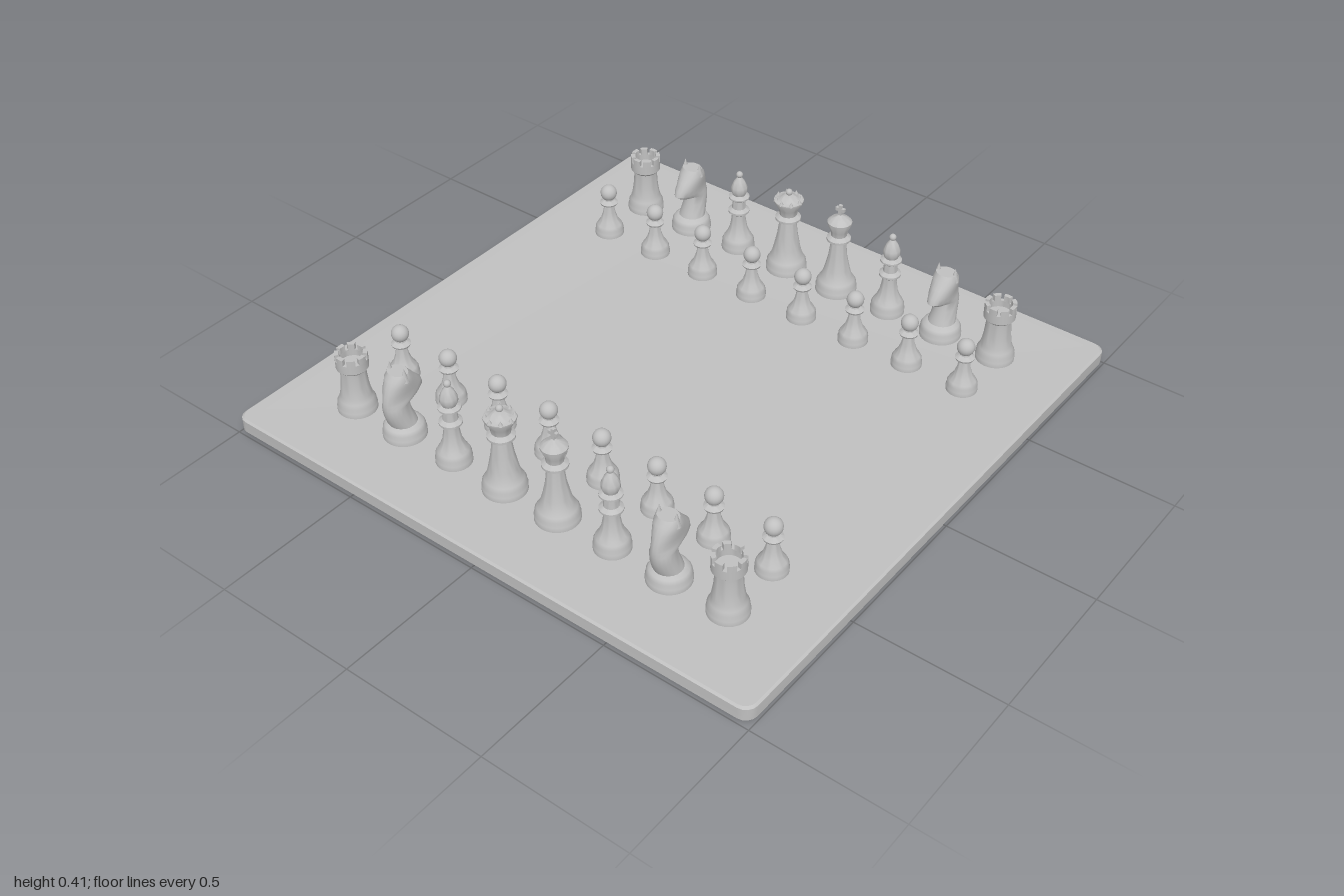
import * as THREE from 'three';
import { toCreasedNormals } from 'three/addons/utils/BufferGeometryUtils.js';

const TOP = 0.065; // playing surface height
const stone = new THREE.MeshStandardMaterial({ color: 0xc0c0c0 });
stone.name = 'plain grey';

function add(parent, name, geometry, x = 0, y = 0, z = 0) {
  const mesh = new THREE.Mesh(geometry, stone);
  mesh.name = name;
  mesh.position.set(x, y, z);
  parent.add(mesh);
  return mesh;
}

// Skins equal-length rings of points, listed bottom to top, anticlockwise from above
function loft(rings, crease) {
  const n = rings[0].length, pos = [], index = [];
  rings.forEach(r => r.forEach(p => pos.push(...p)));
  for (let i = 0; i < rings.length - 1; i++)
    for (let j = 0; j < n; j++) {
      const a = i * n + j, b = i * n + (j + 1) % n;
      index.push(a, b, b + n, a, b + n, a + n);
    }
  const g = new THREE.BufferGeometry();
  g.setAttribute('position', new THREE.Float32BufferAttribute(pos, 3));
  g.setIndex(index);
  g.computeVertexNormals();
  return toCreasedNormals(g, crease);
}

function turned(profile) {
  const pts = profile.map(([r, y]) => new THREE.Vector2(r, y));
  return toCreasedNormals(new THREE.LatheGeometry(pts, 28), 0.7);
}

// Square outline with rounded corners
function roundedSquare(half, radius, y) {
  const ring = [], c = half - radius;
  for (let k = 0; k < 4; k++)
    for (let s = 0; s <= 4; s++) {
      const a = (k + s / 4) * Math.PI / 2;
      const sx = k === 0 || k === 3 ? 1 : -1, sz = k < 2 ? -1 : 1;
      ring.push([sx * c + radius * Math.cos(a), y, sz * c - radius * Math.sin(a)]);
    }
  return ring;
}

const base = (r, h = 1) => [
  [0, 0], [r, 0], [r, 0.018 * h], [r * 0.95, 0.024 * h], [r * 0.96, 0.034 * h], [r * 0.86, 0.046 * h]
];

const pawnBody = turned([...base(0.051, 0.85), [0.031, 0.058], [0.022, 0.085], [0.017, 0.114],
  [0.03, 0.122], [0.032, 0.128], [0.017, 0.137], [0.014, 0.15]]);
const pawnHead = new THREE.SphereGeometry(0.029, 20, 14);

const rookBody = turned([...base(0.064), [0.05, 0.062], [0.044, 0.1], [0.041, 0.14], [0.041, 0.155],
  [0.052, 0.166], [0.052, 0.198], [0.04, 0.198], [0.04, 0.175], [0, 0.175]]);
const merlonShape = new THREE.Shape();
merlonShape.absarc(0, 0, 0.052, -0.27, 0.27, false);
merlonShape.absarc(0, 0, 0.038, 0.27, -0.27, true);
const merlon = new THREE.ExtrudeGeometry(merlonShape, { depth: 0.022, bevelEnabled: false, curveSegments: 4 });
merlon.rotateX(-Math.PI / 2);

const bishopBody = turned([...base(0.058), [0.042, 0.058], [0.031, 0.085], [0.025, 0.12], [0.024, 0.14],
  [0.037, 0.15], [0.037, 0.157], [0.024, 0.166], [0.022, 0.195], [0.036, 0.206], [0.036, 0.212],
  [0.023, 0.22], [0.029, 0.236], [0.028, 0.25], [0.019, 0.272], [0.008, 0.287], [0.006, 0.29]]);
const bishopFinial = new THREE.SphereGeometry(0.012, 14, 10);

const queenBody = turned([...base(0.071), [0.053, 0.062], [0.046, 0.09], [0.036, 0.14], [0.029, 0.195],
  [0.044, 0.204], [0.044, 0.212], [0.03, 0.222], [0.034, 0.245], [0.051, 0.274], [0.051, 0.28],
  [0.041, 0.281], [0.032, 0.284], [0.022, 0.294], [0.009, 0.3], [0, 0.302]]);
const queenFinial = new THREE.SphereGeometry(0.012, 14, 10);
const crownPoint = new THREE.ConeGeometry(0.009, 0.018, 8);

const kingBody = turned([...base(0.071), [0.052, 0.06], [0.043, 0.09], [0.032, 0.14], [0.026, 0.195],
  [0.041, 0.204], [0.041, 0.212], [0.027, 0.222], [0.029, 0.24], [0.042, 0.27], [0.042, 0.276],
  [0.03, 0.288], [0.012, 0.297], [0.006, 0.303], [0, 0.303]]);
const crossPost = new THREE.BoxGeometry(0.012, 0.044, 0.011);
const crossArm = new THREE.BoxGeometry(0.034, 0.012, 0.011);

const knightBase = turned([...base(0.07), [0.046, 0.055], [0, 0.055]]);
// Horse cross-sections: height, back, front, half width
const horse = loft([
  [0.045, -0.045, 0.045, 0.048], [0.07, -0.058, 0.038, 0.043], [0.105, -0.069, 0.025, 0.038],
  [0.135, -0.073, 0.022, 0.036], [0.15, -0.073, 0.07, 0.035], [0.162, -0.072, 0.086, 0.035],
  [0.182, -0.067, 0.08, 0.037], [0.207, -0.058, 0.058, 0.041], [0.23, -0.046, 0.04, 0.042],
  [0.247, -0.032, 0.026, 0.036], [0.247, -0.003, -0.003, 0]
].map(([y, back, front, w]) => Array.from({ length: 20 }, (_, j) => {
  const a = j / 20 * Math.PI * 2;
  return [w * Math.cos(a), y, (back + front) / 2 - (front - back) / 2 * Math.sin(a)];
})), 0.8);
const ear = new THREE.ConeGeometry(0.014, 0.05, 10);

const makers = {
  pawn(g) {
    add(g, 'pawnBody', pawnBody);
    add(g, 'pawnHead', pawnHead, 0, 0.166);
  },
  rook(g) {
    add(g, 'rookBody', rookBody);
    for (let i = 0; i < 8; i++) add(g, 'merlon', merlon, 0, 0.197).rotation.y = i * Math.PI / 4;
  },
  knight(g) {
    add(g, 'knightBase', knightBase);
    add(g, 'horseHead', horse);
    for (const s of [-1, 1]) add(g, 'ear', ear, s * 0.031, 0.247, -0.005);
  },
  bishop(g) {
    add(g, 'bishopBody', bishopBody);
    add(g, 'bishopFinial', bishopFinial, 0, 0.298);
  },
  queen(g) {
    add(g, 'queenBody', queenBody);
    add(g, 'queenFinial', queenFinial, 0, 0.309);
    for (let i = 0; i < 8; i++) {
      const a = i * Math.PI / 4;
      add(g, 'crownPoint', crownPoint, 0.044 * Math.cos(a), 0.286, 0.044 * Math.sin(a));
    }
  },
  king(g) {
    add(g, 'kingBody', kingBody);
    add(g, 'crossPost', crossPost, 0, 0.318);
    add(g, 'crossArm', crossArm, 0, 0.323);
  }
};

export function createModel() {
  const model = new THREE.Group();
  model.name = 'chessSet';

  // Board with softened edges and a very shallow dished top
  add(model, 'board', loft([
    roundedSquare(0.001, 0.0005, 0.012), roundedSquare(0.99, 0.035, 0.012), roundedSquare(1, 0.04, 0.02),
    roundedSquare(1, 0.04, 0.061), roundedSquare(0.993, 0.037, 0.067), roundedSquare(0.95, 0.03, 0.067),
    roundedSquare(0.87, 0.02, TOP), roundedSquare(0.001, 0.0005, TOP)
  ], 0.5));

  // Feet
  const foot = new THREE.CylinderGeometry(0.034, 0.034, 0.014, 24);
  for (const x of [-0.915, 0.915])
    for (const z of [-0.915, 0.915]) add(model, 'foot', foot, x, 0.007, z);

  // Two facing armies
  const order = ['rook', 'knight', 'bishop', 'queen', 'king', 'bishop', 'knight', 'rook'];
  for (const side of [-1, 1])
    order.forEach((kind, i) => {
      for (const [name, z] of [[kind, 0.731], ['pawn', 0.522]]) {
        const piece = new THREE.Group();
        piece.name = name;
        piece.position.set((i - 3.5) * 0.209, TOP, side * z);
        if (side > 0) piece.rotation.y = Math.PI;
        makers[name](piece);
        model.add(piece);
      }
    });
  return model;
}
